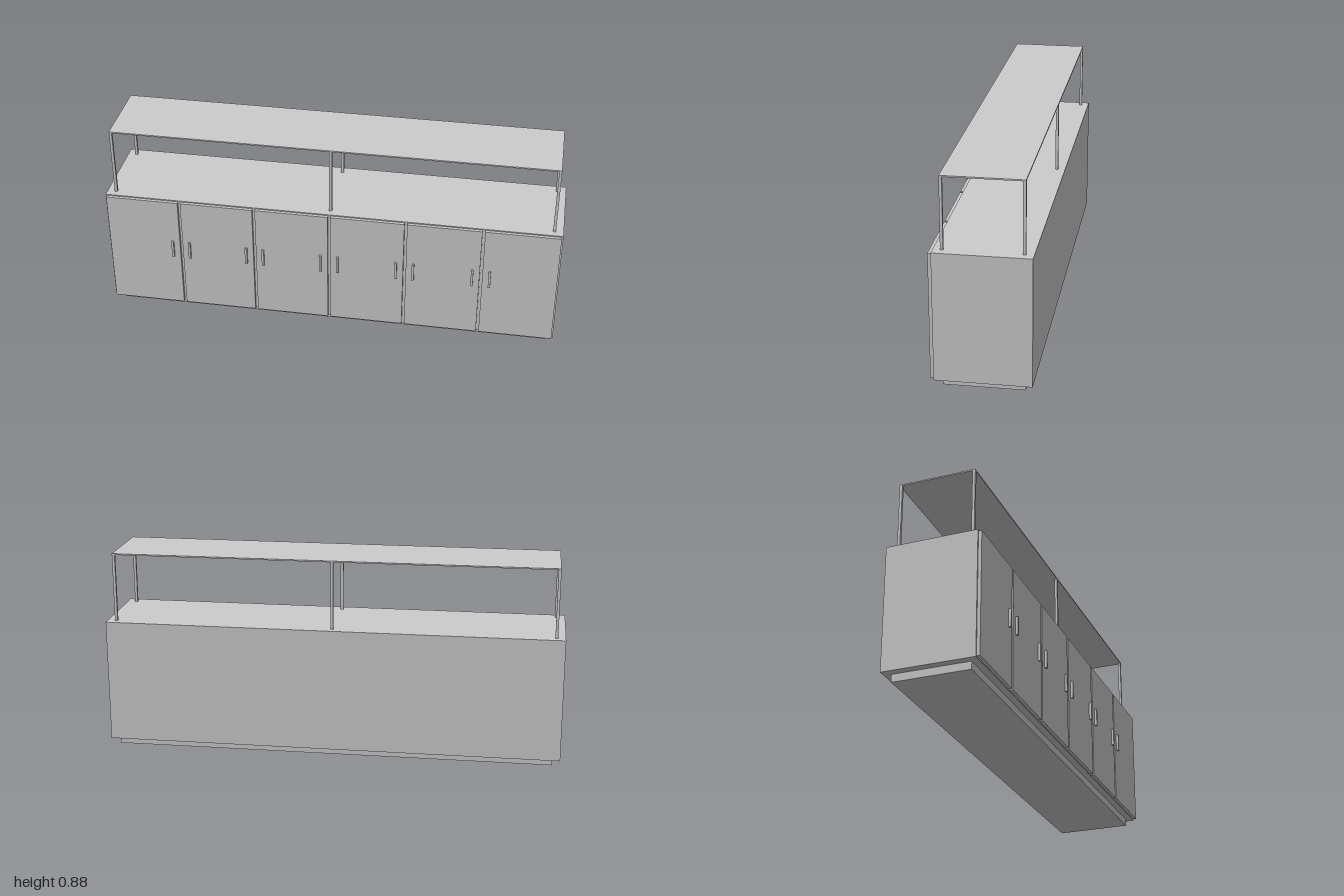
import * as THREE from 'three';

export function createModel() {
  const group = new THREE.Group();
  const material = new THREE.MeshStandardMaterial({ color: 0xcccccc });

  // Box given by its [min, max] extent on each axis
  function box(name, [x0, x1], [y0, y1], [z0, z1]) {
    const mesh = new THREE.Mesh(new THREE.BoxGeometry(x1 - x0, y1 - y0, z1 - z0), material);
    mesh.position.set((x0 + x1) / 2, (y0 + y1) / 2, (z0 + z1) / 2);
    mesh.name = name;
    group.add(mesh);
  }

  const bottom = 0.033, top = 0.577, bodyFront = 0.185, doorFront = 0.199;
  const insetX = 0.967, insetZ = [-0.177, 0.155];

  // Recessed plinth and cabinet body
  box('plinth', [-insetX, insetX], [0, bottom], insetZ);
  box('cabinetBody', [-1, 1], [bottom, top], [-0.208, bodyFront]);

  // Six doors with narrow gaps
  const count = 6, pitch = 1 / 3, gap = 0.012;
  for (let i = 0; i < count; i++) {
    const x = (i - (count - 1) / 2) * pitch;
    const half = (pitch - gap) / 2;
    box('door', [x - half, x + half], [0.038, 0.572], [bodyFront, doorFront]);
  }

  // A pair of handles beside every gap between doors
  for (let i = 1; i < count; i++) {
    for (const side of [-1, 1]) {
      const x = (i - count / 2) * pitch + side * 0.038;
      box('handle', [x - 0.005, x + 0.005], [0.29, 0.371], [doorFront, 0.21]);
    }
  }

  // Raised shelf on six slim square posts
  const shelfBottom = 0.874, post = 0.012;
  box('shelf', [-insetX, insetX], [shelfBottom, 0.88], insetZ);
  for (const x of [-insetX, -post / 2, insetX - post]) {
    for (const z of [insetZ[0], insetZ[1] - post]) {
      box('shelfPost', [x, x + post], [top, shelfBottom], [z, z + post]);
    }
  }

  return group;
}
